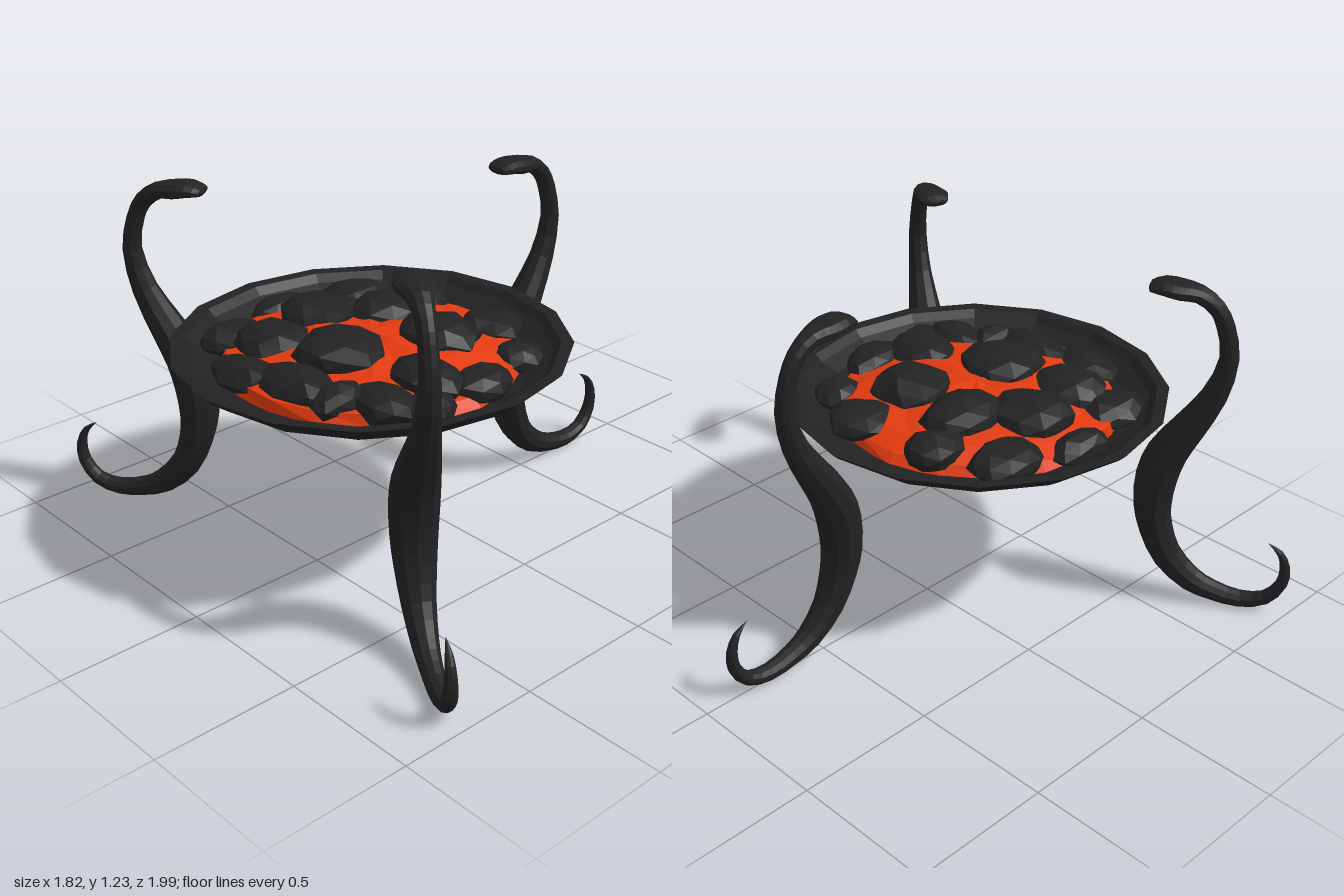
import * as THREE from 'three';

const dark = new THREE.MeshStandardMaterial({ color: 0x222222, flatShading: true });
const ember = new THREE.MeshStandardMaterial({ color: 0xe23a10, flatShading: true });
const BOWL_X = -0.24;

function add(parent, name, geometry, material) {
  const mesh = new THREE.Mesh(geometry, material);
  mesh.name = name;
  parent.add(mesh);
  return mesh;
}

const lathe = (points, sides) =>
  new THREE.LatheGeometry(points.map(([r, y]) => new THREE.Vector2(r, y)), sides);

// Repeatable noise in -1..1 from a position, so shared corners move together
function noise(x, y, z, seed) {
  const s = Math.sin(x * 127.1 + y * 311.7 + z * 74.7 + seed * 53.3) * 4375.85;
  return (s - Math.floor(s)) * 2 - 1;
}

// Leg sections from head to tail: x, y, half thickness in the bend plane, half width across
const LEG = [
  [0.333, 1.212, 0, 0], [0.34, 1.213, 0.014, 0.042], [0.385, 1.219, 0.026, 0.062],
  [0.44, 1.212, 0.030, 0.062], [0.50, 1.203, 0.029, 0.042], [0.56, 1.16, 0.030, 0.031],
  [0.592, 1.10, 0.031, 0.030], [0.615, 0.985, 0.033, 0.034], [0.578, 0.84, 0.045, 0.043],
  [0.505, 0.71, 0.060, 0.062], [0.44, 0.60, 0.071, 0.076], [0.41, 0.50, 0.073, 0.080],
  [0.403, 0.38, 0.067, 0.076], [0.42, 0.295, 0.061, 0.069], [0.47, 0.18, 0.053, 0.056],
  [0.56, 0.092, 0.045, 0.044], [0.64, 0.058, 0.036, 0.037], [0.74, 0.040, 0.030, 0.032],
  [0.828, 0.062, 0.025, 0.028], [0.878, 0.13, 0.022, 0.024], [0.883, 0.20, 0.018, 0.019],
  [0.86, 0.255, 0.011, 0.013], [0.815, 0.29, 0, 0],
];

// Sweeps an oval along the leg curve, which lies in the xy plane
function legGeometry(sides = 10, rings = 44) {
  const path = new THREE.CatmullRomCurve3(LEG.map(([x, y]) => new THREE.Vector3(x - BOWL_X, y, 0)));
  const size = new THREE.CatmullRomCurve3(LEG.map(([, , a, b]) => new THREE.Vector3(a, b, 0)),
    false, 'catmullrom', 0.5);
  const positions = [], index = [];
  for (let i = 0; i <= rings; i++) {
    const t = i / rings;
    const p = path.getPoint(t), d = path.getTangent(t), s = size.getPoint(t);
    for (let j = 0; j < sides; j++) {
      const a = (j / sides) * Math.PI * 2;
      const u = Math.cos(a) * Math.max(s.x, 0);
      positions.push(p.x - d.y * u, p.y + d.x * u, Math.sin(a) * Math.max(s.y, 0));
      if (i === rings) continue;
      const k = i * sides + j, n = i * sides + ((j + 1) % sides);
      index.push(k, n, k + sides, n, n + sides, k + sides);
    }
  }
  const g = new THREE.BufferGeometry();
  g.setAttribute('position', new THREE.Float32BufferAttribute(positions, 3));
  g.setIndex(index);
  g.computeVertexNormals();
  return g;
}

// Height of the glowing bed at a distance from the bowl's axis
const bedHeight = (r) => 0.787 - 0.27 * r * r;

// Uneven faceted stone of unit size
function coalGeometry(seed) {
  const g = new THREE.IcosahedronGeometry(1, 1);
  const p = g.attributes.position;
  const v = new THREE.Vector3();
  for (let i = 0; i < p.count; i++) {
    v.fromBufferAttribute(p, i);
    const q = v.toArray().map((c) => Math.round(c * 100) / 100 + 0);
    v.multiplyScalar(1 + 0.1 * noise(q[0], q[1], q[2], seed));
    p.setXYZ(i, v.x, v.y, v.z);
  }
  g.computeVertexNormals();
  return g;
}

// Coals: x, z, radius along x, radius along z
const COALS = [
  [-0.23, -0.27, 0.15, 0.15], [-0.07, 0.14, 0.14, 0.15], [-0.40, 0.03, 0.15, 0.16],
  [-0.47, -0.22, 0.13, 0.14], [-0.05, -0.12, 0.15, 0.13], [-0.62, 0.08, 0.10, 0.15],
  [-0.30, 0.33, 0.12, 0.14], [-0.49, 0.35, 0.10, 0.12], [-0.40, 0.45, 0.10, 0.07],
  [-0.16, 0.44, 0.13, 0.09], [0.09, 0.36, 0.09, 0.09], [0.17, 0.14, 0.12, 0.12],
  [0.14, -0.18, 0.11, 0.10], [0.01, -0.38, 0.14, 0.11], [-0.24, -0.48, 0.13, 0.07],
  [-0.51, -0.39, 0.13, 0.10], [-0.67, -0.13, 0.09, 0.13], [-0.58, 0.24, 0.10, 0.07],
];

export function createModel() {
  const model = new THREE.Group();
  model.name = 'fireBowl';

  const brazier = new THREE.Group();
  brazier.name = 'brazier';
  brazier.position.x = BOWL_X;
  model.add(brazier);

  // Shallow dish with a thin lip, outside then inside
  add(brazier, 'bowl', lathe([
    [0, 0.59], [0.2, 0.595], [0.37, 0.615], [0.5, 0.647], [0.59, 0.69], [0.645, 0.73], [0.672, 0.757],
    [0.63, 0.755], [0.605, 0.728], [0.54, 0.695], [0.4, 0.66], [0, 0.635],
  ], 16), dark);

  // Glowing bed under the coals, with a ragged edge
  const bed = lathe([[0.51, 0.685],
    ...[0.49, 0.4, 0.3, 0.2, 0.1, 0].map((r) => [r, bedHeight(r)])], 18);
  const p = bed.attributes.position;
  for (let i = 0; i < p.count; i++) {
    const x = p.getX(i), z = p.getZ(i);
    if (Math.hypot(x, z) < 0.05) continue;
    const n = noise(Math.round(x * 100) / 100 + 0, 0, Math.round(z * 100) / 100 + 0, 3);
    p.setXYZ(i, x * (1 + n * 0.02), p.getY(i) + n * 0.008, z * (1 + n * 0.02));
  }
  bed.computeVertexNormals();
  add(brazier, 'glowingBed', bed, ember);

  // Heaped coals, taller towards the middle
  const coals = new THREE.Group();
  coals.name = 'coals';
  brazier.add(coals);
  COALS.forEach(([x, z, rx, rz], i) => {
    const r = Math.hypot(x - BOWL_X, z);
    const y = bedHeight(r) - 0.012;
    const coal = add(coals, 'coal', coalGeometry(i + 1), dark);
    coal.position.set(x - BOWL_X, y, z);
    coal.scale.set(rx, 0.085 - 0.06 * r, rz);
  });

  // Three serpent-shaped legs around the bowl
  const legShape = legGeometry();
  for (let i = 0; i < 3; i++) {
    add(brazier, 'serpentLeg', legShape, dark).rotation.y = (i * Math.PI * 2) / 3;
  }
  return model;
}
